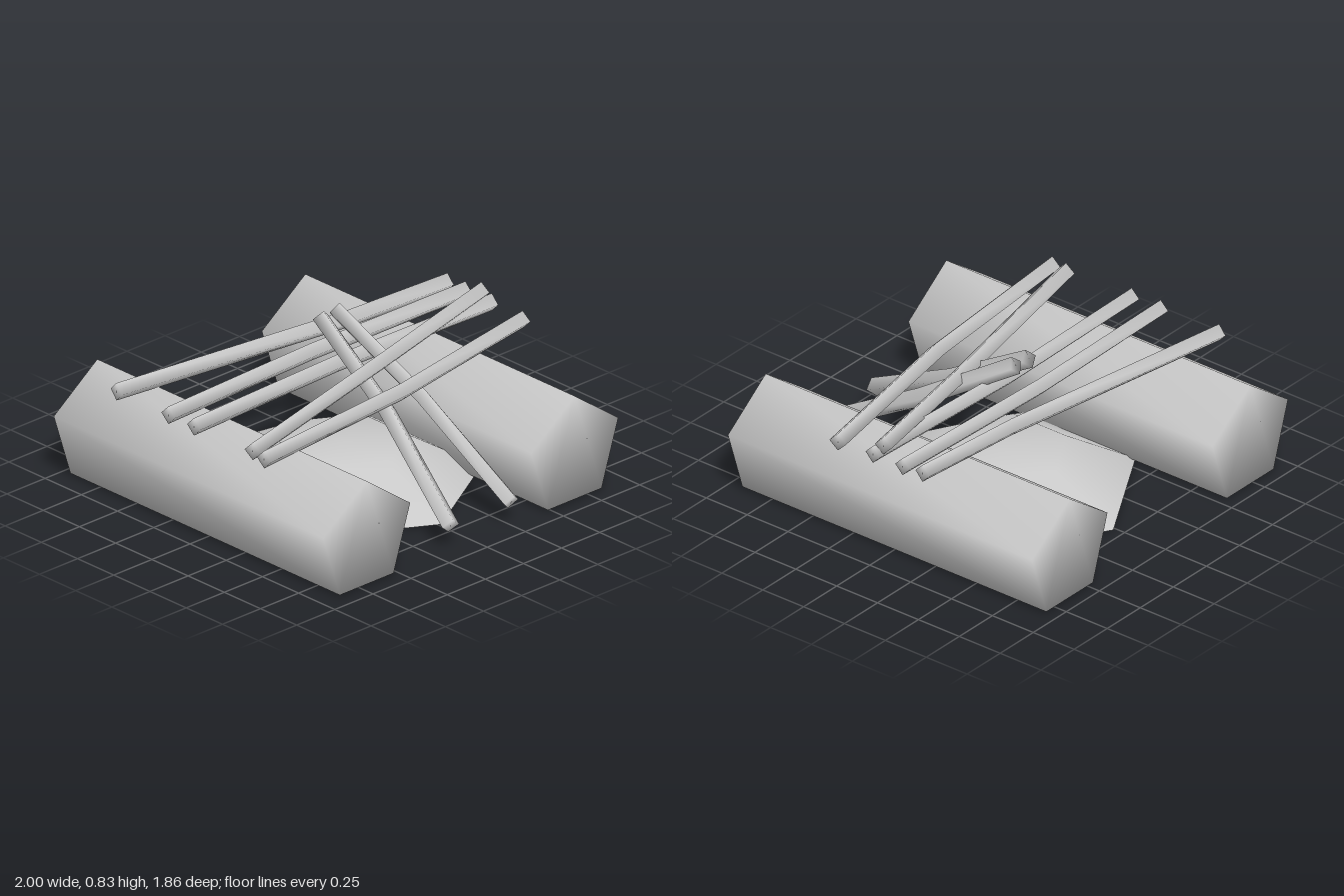
import * as THREE from 'three';

const material = new THREE.MeshStandardMaterial({ color: 0xcccccc });
const UP = new THREE.Vector3(0, 1, 0);

// Closed, smooth-shaded bar of a few sides along a path, one corner pointing up
function bar(name, path, radius, sides) {
  const points = path.map((p) => new THREE.Vector3(...p));
  const position = [];
  const index = [];
  points.forEach((p, i) => {
    const before = points[Math.max(i - 1, 0)];
    const after = points[Math.min(i + 1, points.length - 1)];
    const along = after.clone().sub(before).normalize();
    const side = along.clone().cross(UP).normalize();
    const up = side.clone().cross(along);
    for (let k = 0; k < sides; k++) {
      const angle = (k / sides) * Math.PI * 2;
      const v = p.clone()
        .addScaledVector(up, Math.cos(angle) * radius)
        .addScaledVector(side, Math.sin(angle) * radius);
      position.push(v.x, v.y, v.z);
    }
  });
  for (let i = 0; i < points.length - 1; i++) {
    for (let k = 0; k < sides; k++) {
      const a = i * sides + k;
      const b = i * sides + ((k + 1) % sides);
      index.push(a, b, b + sides, a, b + sides, a + sides);
    }
  }
  // End caps
  const last = (points.length - 1) * sides;
  for (let k = 1; k < sides - 1; k++) {
    index.push(0, k + 1, k, last, last + k, last + k + 1);
  }
  const geometry = new THREE.BufferGeometry();
  geometry.setAttribute('position', new THREE.Float32BufferAttribute(position, 3));
  geometry.setIndex(index);
  geometry.computeVertexNormals();
  const mesh = new THREE.Mesh(geometry, material);
  mesh.name = name;
  return mesh;
}

export function createModel() {
  const group = new THREE.Group();
  group.name = 'campfire';

  // Two heavy five-sided logs
  for (const [name, x] of [['rightLog', -0.715], ['leftLog', 0.65]]) {
    group.add(bar(name, [[x, 0.255, -0.94], [x, 0.255, 0.92]], 0.3, 5));
  }

  // Six-sided ash mound, open underneath
  const profile = [[0.68, 0], [0.325, 0.2], [0, 0.2]].map((p) => new THREE.Vector2(...p));
  const moundMaterial = material.clone();
  moundMaterial.side = THREE.DoubleSide;
  const mound = new THREE.Mesh(new THREE.LatheGeometry(profile, 6), moundMaterial);
  mound.name = 'ashMound';
  mound.position.set(0.015, 0, -0.013);
  group.add(mound);

  // Bent sticks laid across the logs
  const crossSticks = [
    [[-0.955, 0.595, -0.555], [0.375, 0.61, -0.36], [0.99, 0.62, -0.315]],
    [[-0.955, 0.595, -0.197], [0, 0.605, -0.222], [0.995, 0.615, -0.197]],
    [[-0.955, 0.595, -0.02], [0, 0.605, -0.045], [0.995, 0.615, -0.015]],
    [[-0.94, 0.595, 0.37], [0.19, 0.63, 0.11], [0.97, 0.668, -0.06]],
    [[-0.955, 0.59, 0.465], [0.03, 0.595, 0.378], [0.99, 0.6, 0.203]],
  ];
  crossSticks.forEach((path, i) => group.add(bar(`crossStick${i + 1}`, path, 0.046, 4)));

  // Two sticks leaning up from the ground over the cross sticks
  const leaningSticks = [
    [[-0.145, 0.125, 0.9], [0.01, 0.47, 0.3], [0.05, 0.78, -0.205]],
    [[0.253, 0.12, 0.9], [0.24, 0.47, 0.3], [0.15, 0.79, -0.205]],
  ];
  leaningSticks.forEach((path, i) => group.add(bar(`leaningStick${i + 1}`, path, 0.046, 4)));

  return group;
}
